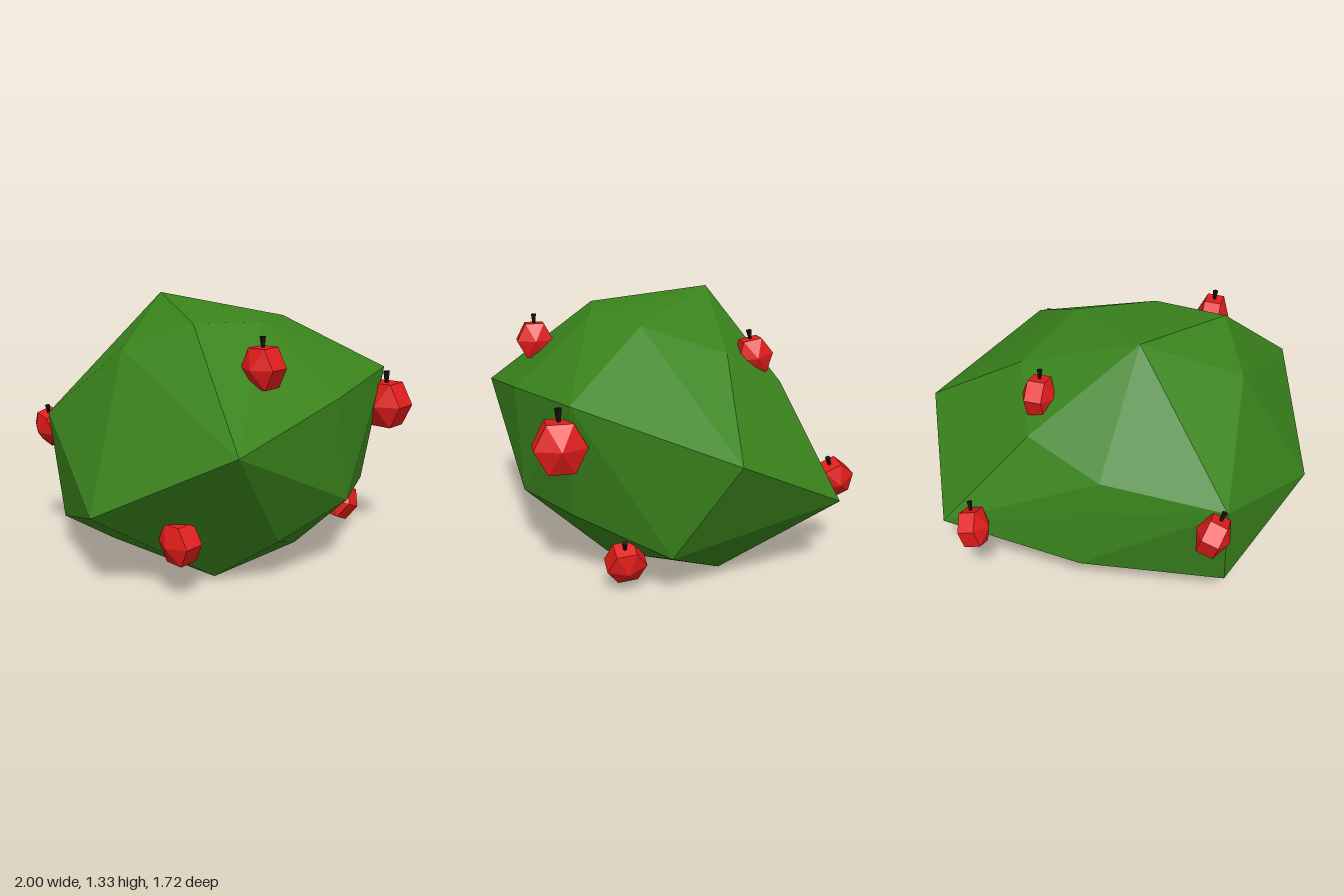
import * as THREE from 'three';
import { ConvexGeometry } from 'three/addons/geometries/ConvexGeometry.js';

// Corners of the faceted bush, from crown to base
const BUSH = [
  [-0.19, 1.33, -0.29], [-0.48, 1.22, 0.29], [-0.1, 1.21, 0.36], [0.27, 1.21, 0.16],
  [-0.64, 1.09, -0.04], [0.43, 1.09, -0.225], [0.64, 0.94, 0.555], [0.28, 0.9, -0.555],
  [0, 0.875, 0.76], [-0.1, 0.77, -0.645], [-0.75, 0.74, 0.86], [1, 0.73, -0.13],
  [-0.7, 0.71, -0.61], [0.7, 0.4, -0.725], [-1, 0.385, 0.18], [0.11, 0.36, 0.74],
  [0.485, 0.36, 0.54], [0, 0.25, -0.67], [0.79, 0.23, 0.125], [-0.28, 0.22, 0.65],
  [-0.7, 0.17, -0.49], [-0.62, 0.11, -0.17], [-0.445, 0.02, 0.39], [0.12, 0.02, -0.26],
  [0.2, 0.01, 0.33], [-0.21, 0.015, -0.06], [0.475, 0, -0.19],
];

// Fruit: position, radius, tilt about x and z
const FRUIT = [
  [-0.36, 1.04, 0.62, 0.122, 0, 0.05],
  [0.61, 0.75, 0.6, 0.153, 0, 0.05],
  [-0.71, 0.275, 0.45, 0.122, 0, 0.08],
  [0.61, 0.15, 0.31, 0.12, 0.1, -0.4],
  [0.27, 1.04, -0.41, 0.115, 0.2, 0],
  [0.51, 0.45, -0.77, 0.115, 0.4, -0.25],
  [-0.65, 0.62, -0.67, 0.115, 0.25, 0.3],
];

export function createModel() {
  const model = new THREE.Group();
  const mat = (color) => new THREE.MeshStandardMaterial({ color, flatShading: true });
  const red = mat(0xe21c1a), brown = mat(0x1c110c);

  const bush = new THREE.Mesh(
    new ConvexGeometry(BUSH.map((p) => new THREE.Vector3(...p))), mat(0x3a841c));
  bush.name = 'bush';
  model.add(bush);

  // Six-sided fruit body with its poles along x, and a stem flaring upward
  const body = new THREE.SphereGeometry(1, 6, 3);
  body.rotateZ(Math.PI / 2).rotateX(Math.PI / 2).scale(0.73, 1, 0.92);
  const stemShape = new THREE.CylinderGeometry(0.12, 0.06, 0.45, 5);
  stemShape.translate(0, 0.92, 0);

  FRUIT.forEach(([x, y, z, r, tiltX, tiltZ], i) => {
    const apple = new THREE.Group();
    apple.name = `apple${i + 1}`;
    const flesh = new THREE.Mesh(body, red);
    flesh.name = 'fruit';
    const stem = new THREE.Mesh(stemShape, brown);
    stem.name = 'stem';
    apple.add(flesh, stem);
    apple.position.set(x, y, z);
    apple.rotation.set(tiltX, 0, tiltZ);
    apple.scale.setScalar(r);
    model.add(apple);
  });
  return model;
}
